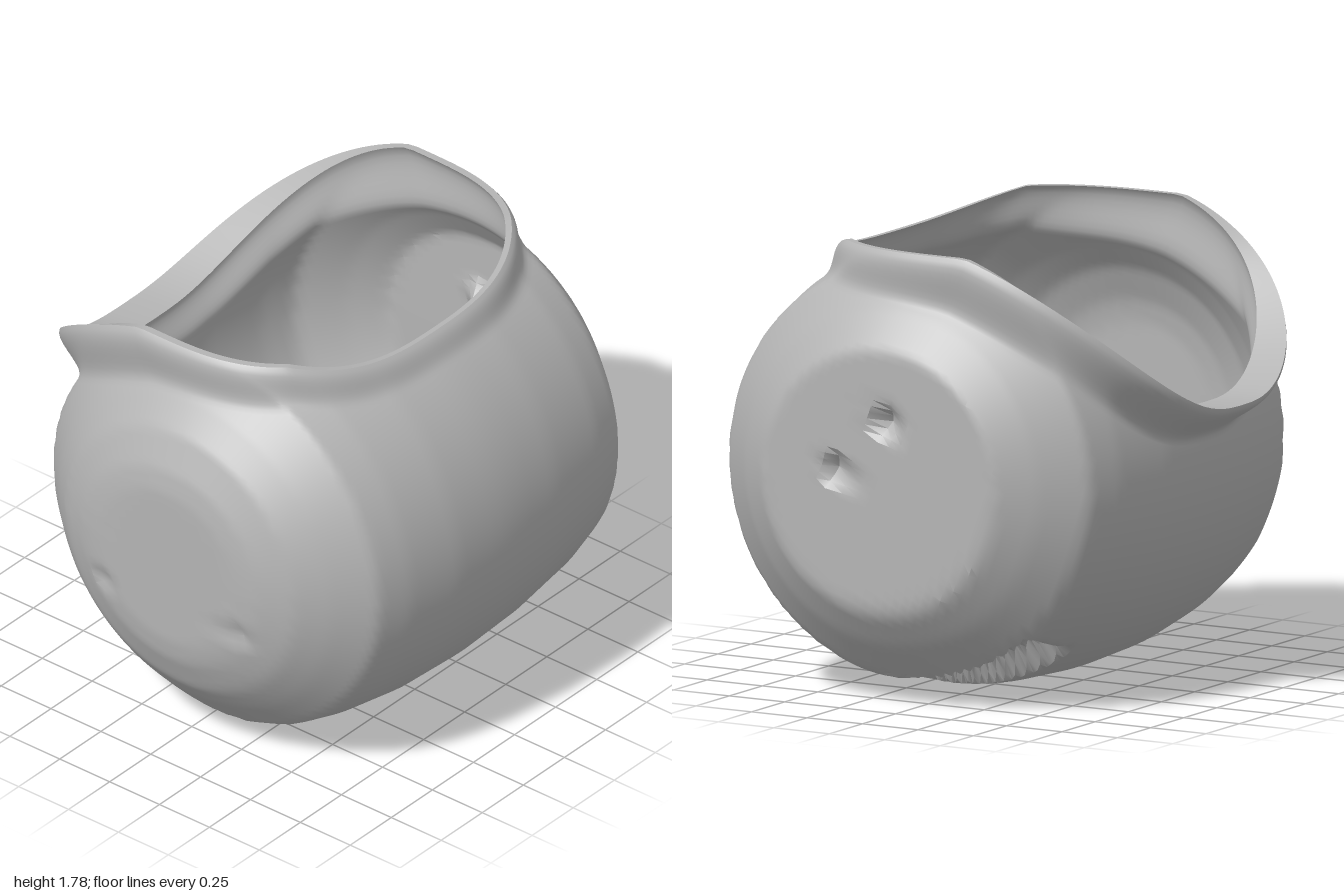
import * as THREE from 'three';
import { toCreasedNormals } from 'three/addons/utils/BufferGeometryUtils.js';

const CENTRE = new THREE.Vector3(0.08, 0.9, 0);
const AROUND = 160, DOWN = 84;

// Barrel profile along z: [z, radius], back to front
const PROFILE = [
  [-1, 0], [-1, 0.52], [-0.9, 0.66], [-0.76, 0.815], [-0.6, 0.855], [-0.3, 0.892], [0, 0.905],
  [0.3, 0.892], [0.55, 0.855], [0.7, 0.815], [0.83, 0.68], [0.92, 0.57], [0.98, 0.43], [0.995, 0.34], [0.995, 0],
];

// Pushed-in pockets under the barrel: x and z ranges, depth
const POCKETS = [
  { x: [-0.46, 0.2], z: [-0.76, -0.44], depth: 0.11 },
  { x: [-0.28, 0.01], z: [0.37, 0.71], depth: 0.1 },
];
// Small conical dimples in the back and front ends: x, y, side, radius, depth
const DIMPLES = [
  [0.05, 1.14, -1, 0.08, 0.08], [0.27, 0.93, -1, 0.08, 0.08],
  [0.42, 0.72, 1, 0.07, 0.03], [-0.25, 0.7, 1, 0.06, 0.03],
];

// Distance from the centre to the barrel wall along a direction
function wallDistance(d) {
  const r = Math.hypot(d.x, d.y);
  for (let i = 0; i < PROFILE.length - 1; i++) {
    const [z0, r0] = PROFILE[i], [z1, r1] = PROFILE[i + 1];
    const c0 = z0 * r - r0 * d.z, c1 = z1 * r - r1 * d.z;
    if (c0 <= 1e-9 && c1 >= -1e-9) {
      const k = c1 - c0 < 1e-9 ? 0 : -c0 / (c1 - c0);
      return Math.hypot(z0 + (z1 - z0) * k, r0 + (r1 - r0) * k);
    }
  }
  return 1;
}

const inside = (v, [a, b]) =>
  THREE.MathUtils.smoothstep(v, a - 0.015, a + 0.04) * (1 - THREE.MathUtils.smoothstep(v, b - 0.04, b + 0.015));

function dent(p) {
  if (p.y < 0.6) {
    for (const { x, z, depth } of POCKETS) {
      const k = inside(p.x, x) * inside(p.z, z) * depth;
      const dx = p.x - CENTRE.x, dy = p.y - CENTRE.y, r = Math.hypot(dx, dy);
      p.x -= (dx / r) * k;
      p.y -= (dy / r) * k;
    }
  }
  for (const [x, y, side, radius, depth] of DIMPLES) {
    if (p.z * side < 0.85) continue;
    p.z -= side * depth * Math.max(0, 1 - Math.hypot(p.x - x, p.y - y) / radius);
  }
  return p;
}

// Edge of the opening: a rounded rectangle from above, draped over the barrel
function rimPoint(phi) {
  const power = (v) => Math.sign(v) * Math.pow(Math.abs(v), 0.72);
  const x = -0.125 + 0.695 * power(Math.cos(phi));
  const z = -0.03 + 0.8 * power(Math.sin(phi));
  const y = 0.9 + Math.sqrt(Math.max(0, 0.935 ** 2 - (x - 0.08) ** 2));
  return new THREE.Vector3(x, Math.min(y, 1.785), z);
}

function shellGeometry() {
  const bottom = new THREE.Vector3(0.342, -0.94, 0).normalize();
  const positions = [], index = [];

  // One row of the shell; t runs from the rim (0) to the bottom (1)
  function addRow(t, outer) {
    for (let i = 0; i <= AROUND; i++) {
      const phi = (i % AROUND) / AROUND * Math.PI * 2;
      const rim = rimPoint(phi);
      const out = rim.clone().sub(CENTRE);
      const rimDistance = out.length();
      out.normalize();
      const angle = out.angleTo(bottom);
      const dir = out.clone().multiplyScalar(Math.sin((1 - t) * angle))
        .addScaledVector(bottom, Math.sin(t * angle)).divideScalar(Math.sin(angle)).normalize();
      const wall = wallDistance(dir) - (outer ? 0 : 0.035);
      const blend = 1 - THREE.MathUtils.smoothstep(t, 0, 0.07);
      const p = CENTRE.clone().addScaledVector(dir, wall + (rimDistance - wall) * blend);
      if (outer) {
        // Lip flares a little all round and spouts out on the low side
        const spout = Math.pow(Math.max(0, -Math.cos(phi)), 1.5);
        p.x += (0.02 * Math.cos(phi) - 0.14 * spout) * blend;
        p.z += 0.03 * Math.sin(phi) * blend;
      }
      dent(p);
      positions.push(p.x, Math.max(0, p.y), p.z);
    }
  }

  // Up the inner wall, over the rim, down the outer wall
  const ease = (t) => 0.6 * t + 0.4 * t * t;
  for (let j = DOWN; j >= 0; j--) addRow(ease(j / DOWN), false);
  for (let j = 0; j <= DOWN; j++) addRow(ease(j / DOWN), true);

  const row = AROUND + 1;
  for (let j = 0; j < 2 * DOWN + 1; j++) {
    for (let i = 0; i < AROUND; i++) {
      const a = j * row + i, b = a + 1, c = a + row, d = c + 1;
      if (j > 0) index.push(a, b, c);
      if (j < 2 * DOWN) index.push(b, d, c);
    }
  }
  const geometry = new THREE.BufferGeometry();
  geometry.setAttribute('position', new THREE.Float32BufferAttribute(positions, 3));
  geometry.setIndex(index);
  return toCreasedNormals(geometry, 0.6);
}

export function createModel() {
  const group = new THREE.Group();
  group.name = 'openBarrel';
  const clay = new THREE.MeshStandardMaterial({ color: 0xb4b4b4 });
  clay.name = 'greyClay';

  const shell = new THREE.Mesh(shellGeometry(), clay);
  shell.name = 'barrelShell';
  group.add(shell);
  return group;
}
